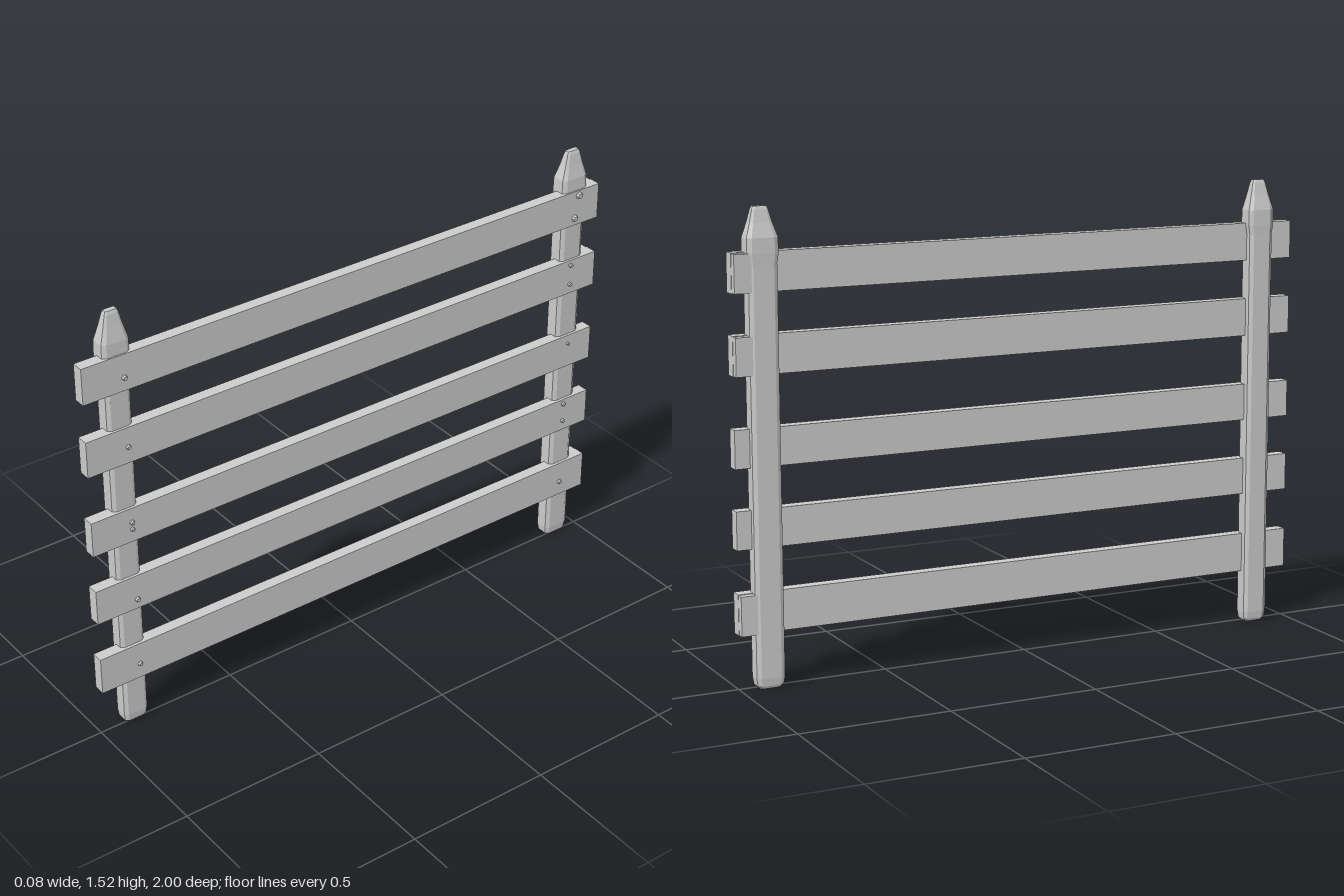
import * as THREE from 'three';

const grey = new THREE.MeshStandardMaterial({ color: 0xcccccc, flatShading: true });

// Loft of chamfered rectangles; each ring is [y, centreX, halfX, halfZ]
function loft(rings) {
  const pos = [], idx = [], k = 0.72;
  const outline = [[1, -k], [1, k], [k, 1], [-k, 1], [-1, k], [-1, -k], [-k, -1], [k, -1]];
  const n = outline.length;
  for (const [y, cx, hx, hz] of rings)
    for (const [u, v] of outline) pos.push(cx + u * hx, y, v * hz);
  for (let i = 0; i < rings.length - 1; i++)
    for (let j = 0; j < n; j++) {
      const a = i * n + j, b = i * n + (j + 1) % n;
      idx.push(a, a + n, b, b, a + n, b + n);
    }
  const g = new THREE.BufferGeometry();
  g.setAttribute('position', new THREE.Float32BufferAttribute(pos, 3));
  g.setIndex(idx);
  g.computeVertexNormals();
  return g;
}

// Post with rounded foot, slightly wider head and blunt tapered tip
function makePost(name, z, halfZ, height) {
  const mesh = new THREE.Mesh(loft([
    [0, -0.013, 0, 0],
    [0, -0.013, 0.018, halfZ * 0.72],
    [0.01, -0.013, 0.026, halfZ * 0.92],
    [0.035, -0.013, 0.029, halfZ],
    [1.34, -0.011, 0.030, halfZ],
    [1.37, -0.010, 0.032, halfZ + 0.005],
    [1.42, -0.010, 0.031, halfZ + 0.004],
    [height - 0.05, -0.008, 0.02, halfZ * 0.78],
    [height - 0.01, -0.007, 0.013, halfZ * 0.56],
    [height, -0.007, 0.009, halfZ * 0.46],
    [height, -0.007, 0, 0],
  ]), grey);
  mesh.name = name;
  mesh.position.z = z;
  return mesh;
}

function makeBox(name, x0, x1, y0, y1, z0, z1) {
  const mesh = new THREE.Mesh(new THREE.BoxGeometry(x1 - x0, y1 - y0, z1 - z0), grey);
  mesh.name = name;
  mesh.position.set((x0 + x1) / 2, (y0 + y1) / 2, (z0 + z1) / 2);
  return mesh;
}

export function createModel() {
  const fence = new THREE.Group();
  fence.name = 'fence';

  fence.add(makePost('frontPost', 0.872, 0.043, 1.52));
  fence.add(makePost('backPost', -0.904, 0.047, 1.515));

  // Rails, bottom to top; some have a thicker block at the back end
  const rails = [
    [0.177, 0.309, true], [0.449, 0.573, false], [0.706, 0.829, false],
    [0.995, 1.121, true], [1.251, 1.376, true],
  ];
  rails.forEach(([y0, y1, block], i) => {
    fence.add(makeBox(`rail${i + 1}`, -0.014, 0.027, y0, y1, -1, 1));
    if (block) fence.add(makeBox(`railEndBlock${i + 1}`, -0.038, 0, y0 + 0.002, y1 - 0.002, -0.999, -0.93));
  });

  // Nail heads as [z, y, radius]
  const nails = [
    [0.855, 1.297, 0.010], [0.855, 1.053, 0.009], [0.857, 0.778, 0.009], [0.857, 0.753, 0.008],
    [0.853, 0.484, 0.010], [0.857, 0.232, 0.009],
    [-0.915, 1.358, 0.014], [-0.9, 1.278, 0.013], [-0.893, 1.103, 0.008], [-0.893, 1.031, 0.008],
    [-0.898, 0.797, 0.006], [-0.893, 0.556, 0.009], [-0.893, 0.488, 0.008], [-0.893, 0.232, 0.009],
  ];
  for (const [z, y, r] of nails) {
    const nail = new THREE.Mesh(new THREE.CylinderGeometry(r * 0.65, r, 0.012, 7), grey);
    nail.name = 'nail';
    nail.rotation.z = -Math.PI / 2;
    nail.position.set(0.031, y, z);
    fence.add(nail);
  }
  return fence;
}
